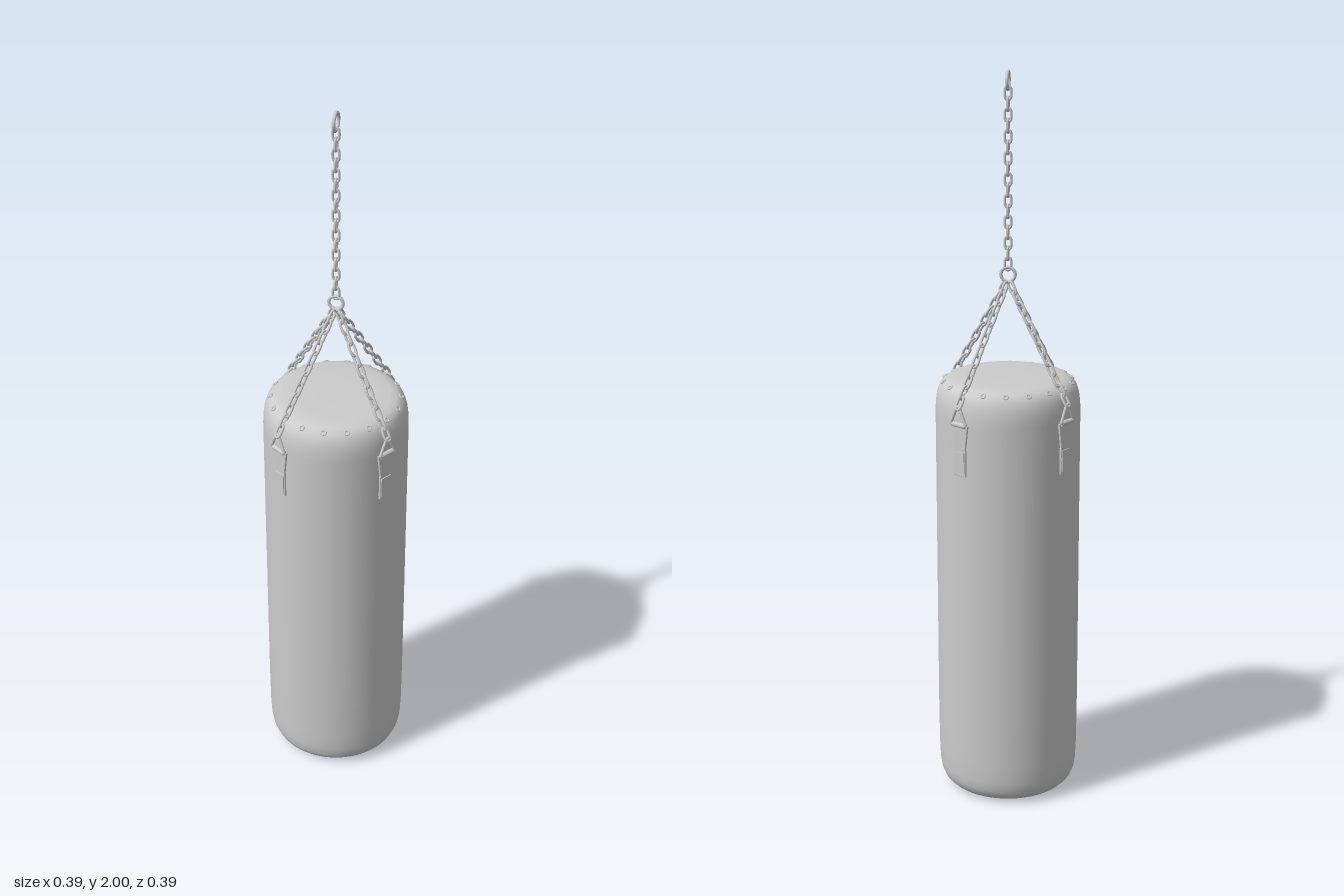
import * as THREE from 'three';

const material = new THREE.MeshStandardMaterial({ color: 0xcccccc, roughness: 0.6 });
const WIRE = 0.0036;

function part(name, geometry, parent) {
  const mesh = new THREE.Mesh(geometry, material);
  mesh.name = name;
  parent.add(mesh);
  return mesh;
}

// Oval chain link lying along y, in the xy plane
function linkGeometry(pitch) {
  const w = 0.0078, straight = pitch / 2 + WIRE - w;
  const points = [];
  for (let end = 0; end < 2; end++) {
    for (let i = 0; i <= 4; i++) {
      const a = (end + i / 4) * Math.PI;
      points.push(new THREE.Vector3(w * Math.cos(a), w * Math.sin(a) + (end ? -straight : straight), 0));
    }
  }
  const curve = new THREE.CatmullRomCurve3(points, true, 'centripetal');
  return new THREE.TubeGeometry(curve, 28, WIRE, 8, true);
}

// Row of links between two points, every other one turned a quarter
function chain(name, from, to, count, parent) {
  const group = new THREE.Group();
  group.name = name;
  const length = from.distanceTo(to), pitch = length / count;
  const geometry = linkGeometry(pitch);
  for (let i = 0; i < count; i++) {
    const link = part('chainLink', geometry, group);
    link.position.y = (i + 0.5) * pitch;
    link.rotation.y = i % 2 ? Math.PI / 2 : 0;
  }
  group.position.copy(from);
  group.quaternion.setFromUnitVectors(new THREE.Vector3(0, 1, 0), to.clone().sub(from).normalize());
  parent.add(group);
}

// Cylinder body with rounded shoulders and a slightly domed top
function bagGeometry() {
  const profile = [
    [0, 0.006], [0.08, 0.004], [0.13, 0.003], [0.152, 0.006], [0.168, 0.014], [0.18, 0.026],
    [0.188, 0.044], [0.192, 0.07], [0.194, 0.12], [0.195, 0.25], [0.195, 0.6], [0.195, 1.0],
    [0.195, 1.1], [0.194, 1.125], [0.191, 1.147], [0.185, 1.166], [0.176, 1.179],
    [0.164, 1.187], [0.145, 1.192], [0.11, 1.194], [0.05, 1.195], [0, 1.195],
  ].map(([r, y]) => new THREE.Vector2(r, y));
  return new THREE.LatheGeometry(profile, 72);
}

// Strap tab: narrow below, flaring to the hanger at the top
function strapGeometry() {
  const s = new THREE.Shape();
  const half = [[0.019, 0.96], [0.019, 1.03], [0.018, 1.034], [0.026, 1.098]];
  half.forEach(([x, y], i) => (i ? s.lineTo(x, y) : s.moveTo(x, y)));
  half.reverse().forEach(([x, y]) => s.lineTo(-x, y));
  s.closePath();
  return new THREE.ExtrudeGeometry(s, {
    depth: 0.005, bevelEnabled: true, bevelThickness: 0.001, bevelSize: 0.001, bevelSegments: 1,
  });
}

// Triangular wire hanger
function hangerGeometry() {
  const corners = [[-0.026, 1.101], [0.026, 1.101], [0.004, 1.15], [-0.004, 1.15]]
    .map(([x, y]) => new THREE.Vector3(x, y, 0));
  const path = new THREE.CurvePath();
  corners.forEach((c, i) => {
    const prev = corners[(i + 3) % 4], next = corners[(i + 1) % 4], after = corners[(i + 2) % 4];
    const cut = (a, b) => a.clone().add(b.clone().sub(a).setLength(0.0035));
    path.add(new THREE.QuadraticBezierCurve3(cut(c, prev), c, cut(c, next)));
    path.add(new THREE.LineCurve3(cut(c, next), cut(next, c)));
  });
  return new THREE.TubeGeometry(path, 64, 0.004, 8, true);
}

export function createModel() {
  const model = new THREE.Group();
  model.name = 'punchingBag';
  part('bag', bagGeometry(), model);

  // Eyelets around the top shoulder
  const eyelet = new THREE.TorusGeometry(0.0062, 0.0022, 8, 18);
  const outward = new THREE.Vector3();
  for (let i = 0; i < 18; i++) {
    const a = THREE.MathUtils.degToRad(5 + i * 20);
    const ring = part('eyelet', eyelet, model);
    ring.position.set(0.174 * Math.cos(a), 1.181, 0.174 * Math.sin(a));
    outward.set(0.6 * Math.cos(a), 0.8, 0.6 * Math.sin(a)).normalize();
    ring.quaternion.setFromUnitVectors(new THREE.Vector3(0, 0, 1), outward);
  }

  // Four hangers, each with strap, stitched patch, wire triangle and chain
  const strap = strapGeometry(), hanger = hangerGeometry();
  for (let i = 0; i < 4; i++) {
    const leg = new THREE.Group();
    leg.name = 'hangingLeg';
    leg.rotation.y = Math.PI / 2 - THREE.MathUtils.degToRad(33 + i * 90);
    part('strap', strap, leg).position.z = 0.193;
    part('strapPatch', new THREE.BoxGeometry(0.034, 0.058, 0.003), leg).position.set(0, 0.996, 0.2);
    const fold = part('strapFold', new THREE.CylinderGeometry(0.007, 0.007, 0.044, 14), leg);
    fold.rotation.z = Math.PI / 2;
    fold.position.set(0, 1.1, 0.2);
    part('hanger', hanger, leg).position.z = 0.203;
    chain('legChain', new THREE.Vector3(0, 1.146, 0.205), new THREE.Vector3(0, 1.445, 0.006), 12, leg);
    model.add(leg);
  }

  // Gathering ring, main chain and top ring
  part('gatheringRing', new THREE.TorusGeometry(0.019, 0.0045, 10, 32), model).position.y = 1.468;
  chain('mainChain', new THREE.Vector3(0, 1.483, 0), new THREE.Vector3(0, 1.955, 0), 17, model);
  const topRing = part('topRing', new THREE.TorusGeometry(0.0225, 0.0045, 10, 36), model);
  topRing.position.y = 1.973;
  topRing.rotation.y = Math.PI / 2;
  return model;
}
